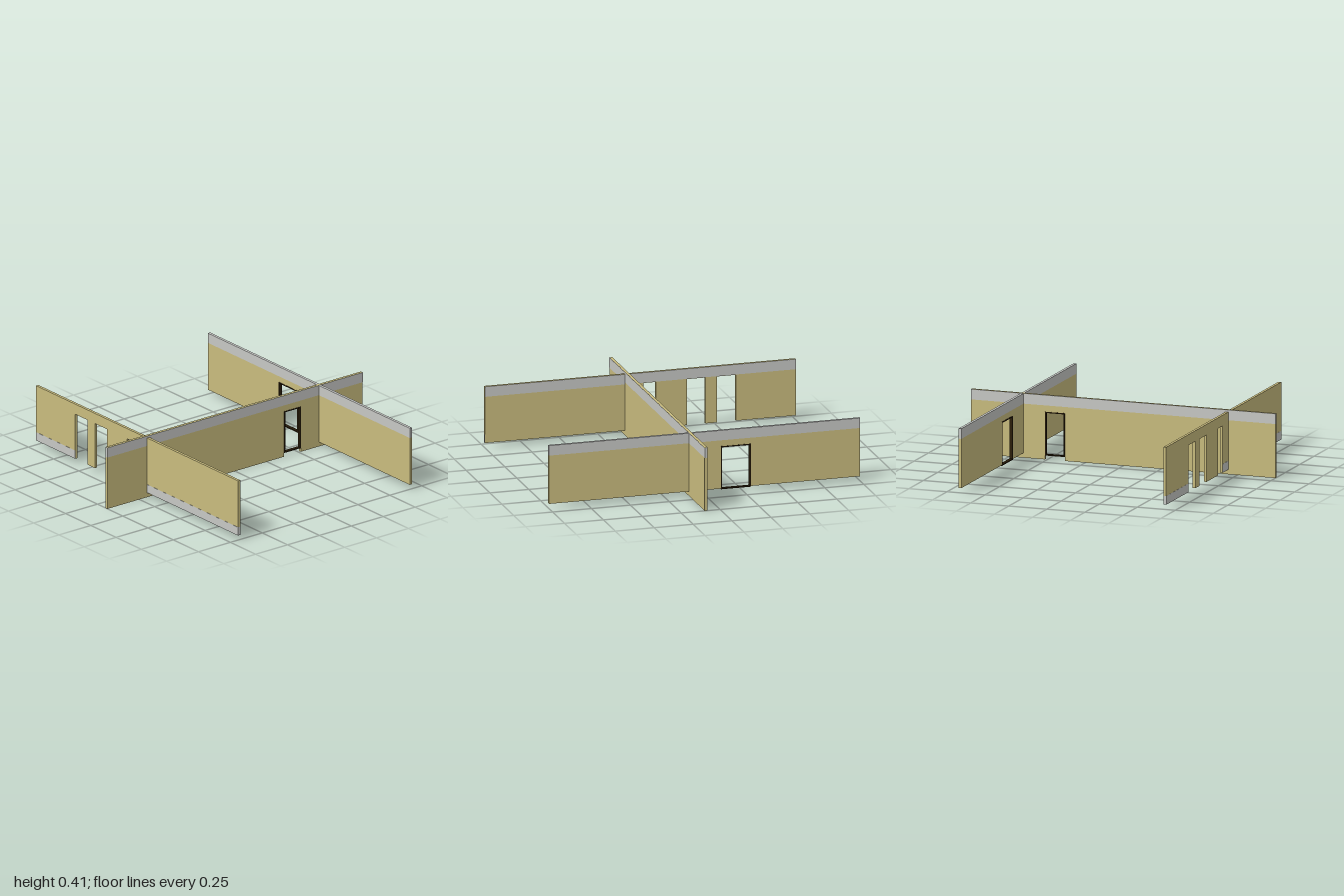
import * as THREE from 'three';

const mat = (name, color, opts = {}) => {
  const m = new THREE.MeshStandardMaterial({ color, ...opts });
  m.name = name;
  return m;
};

const T = 0.018; // wall thickness
const P = 0.002; // painted plate thickness

export function createModel() {
  const tan = mat('tan plaster', 0xc9bc7e);
  const grey = mat('grey band', 0xc7c8c5);
  const dark = mat('dark frame', 0x2a1d0a);
  const model = new THREE.Group();

  // Wall built along local x; openings [from, to, top] reach down to the base
  const wall = (name, y0, y1, openings) => {
    const g = new THREE.Group();
    g.name = name;
    const s = new THREE.Shape();
    s.moveTo(-1, y0);
    for (const [a, b, top] of openings) {
      s.lineTo(a, y0);
      s.lineTo(a, top);
      s.lineTo(b, top);
      s.lineTo(b, y0);
    }
    s.lineTo(1, y0);
    s.lineTo(1, y1);
    s.lineTo(-1, y1);
    s.closePath();
    const geo = new THREE.ExtrudeGeometry(s, { depth: T, bevelEnabled: false });
    geo.translate(0, 0, -T / 2);
    const body = new THREE.Mesh(geo, tan);
    body.name = name + 'Body';
    g.add(body);
    model.add(g);
    return g;
  };

  // Axis-aligned block from its limits
  const block = (g, name, m, x0, x1, y0, y1, z0, z1) => {
    const b = new THREE.Mesh(new THREE.BoxGeometry(x1 - x0, y1 - y0, z1 - z0), m);
    b.position.set((x0 + x1) / 2, (y0 + y1) / 2, (z0 + z1) / 2);
    b.name = name;
    g.add(b);
  };

  // Thin band on one face of a wall (side = +1 or -1 in local z)
  const band = (g, side, x0, x1, y0, y1) => {
    const z = side * T / 2;
    block(g, 'faceBand', grey, x0, x1, y0, y1, z - P / 2, z + P / 2);
  };
  const endBand = (g, y0, y1) => {
    for (const x of [-1, 1]) {
      block(g, 'endBand', grey, x - P / 2, x + P / 2, y0, y1, -T / 2, T / 2);
    }
  };

  // Slim frame lining a doorway
  const frame = (g, a, b, y0, y1) => {
    const w = 0.007, d = T / 2 + 0.002;
    block(g, 'frameSide', dark, a, a + w, y0, y1, -d, d);
    block(g, 'frameSide', dark, b - w, b, y0, y1, -d, d);
    block(g, 'frameHead', dark, a + w, b - w, y1 - w, y1, -d, d);
    block(g, 'frameSill', dark, a + w, b - w, y0, y0 + w, -d, d);
  };

  // Long cross wall with one doorway
  const main = wall('longWall', 0, 0.405, [[0.385, 0.515, 0.3]]);
  for (const side of [-1, 1]) band(main, side, -1, 1, 0.34, 0.4045);
  endBand(main, 0.34, 0.4045);
  frame(main, 0.385, 0.515, 0.025, 0.3);
  main.position.z = 0.09;

  // Left wall with a solid grey top and a framed doorway
  const left = wall('leftWall', 0.03, 0.34, [[-0.295, -0.107, 0.3]]);
  block(left, 'topBand', grey, -1, 1, 0.34, 0.404, -T / 2, T / 2);
  frame(left, -0.297, -0.105, 0.026, 0.302);
  left.rotation.y = -Math.PI / 2;
  left.position.x = 0.665;

  // Right wall with three tall openings; band is high inside, low outside
  const right = wall('rightWall', 0.03, 0.392, [
    [-0.613, -0.492, 0.325],
    [-0.418, -0.298, 0.325],
    [-0.1, -0.02, 0.325],
  ]);
  band(right, -1, -1, 1, 0.327, 0.3915);
  band(right, 1, -1, -0.613, 0.0305, 0.085);
  band(right, 1, -0.02, 1, 0.0305, 0.085);
  endBand(right, 0.0305, 0.085);
  right.rotation.y = -Math.PI / 2;
  right.position.x = -0.681;

  return model;
}
